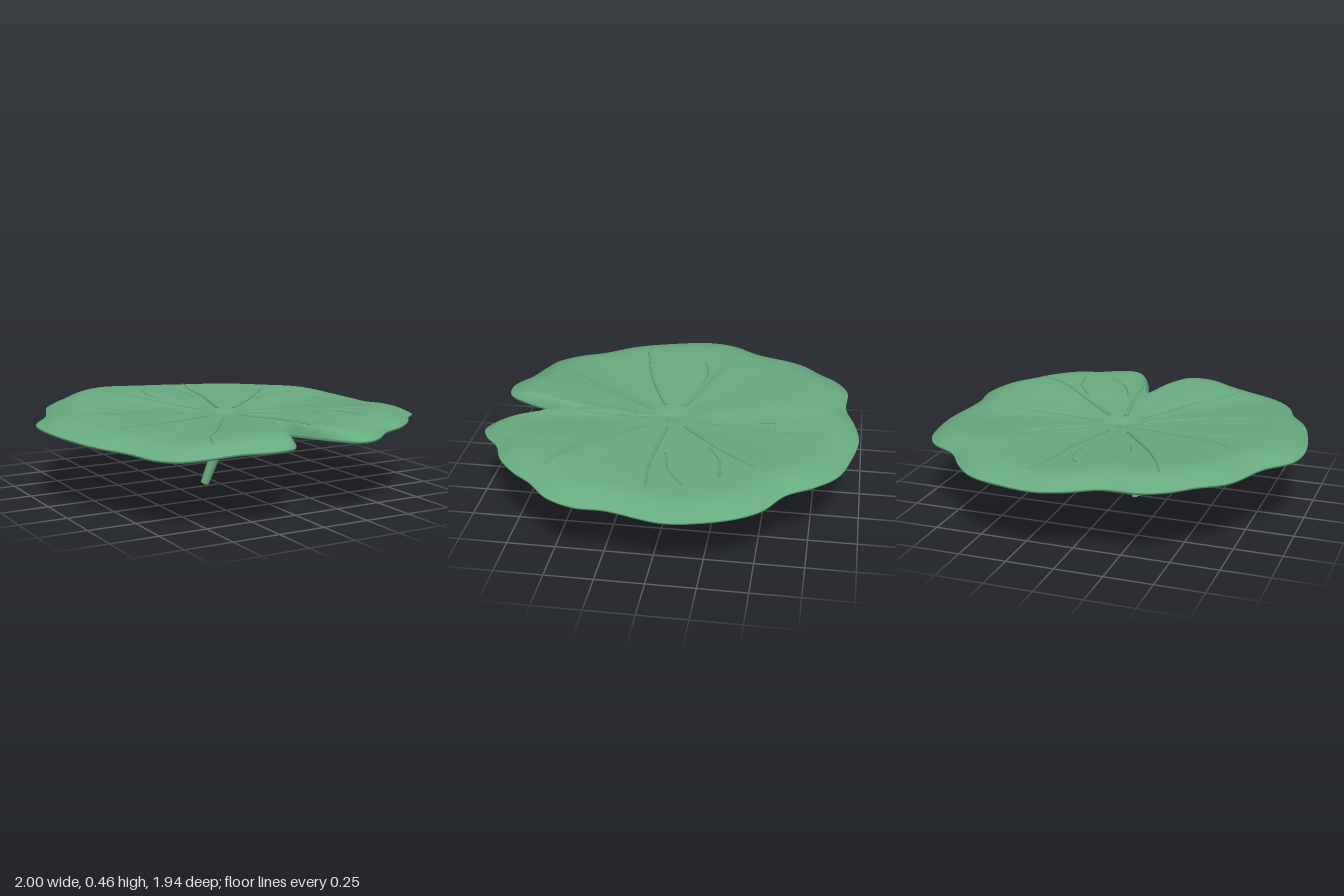
import * as THREE from 'three';

const leafGreen = new THREE.MeshStandardMaterial({ color: 0x68ab80 });
leafGreen.name = 'leaf green';

const CX = 0.01, CZ = 0.02; // where the veins and stem meet
const COLS = 320;

// Wavy rim with the front notch, as x, rim height, z
const RIM = [
  [0.035, 0.38, 0.58], [0.062, 0.382, 0.63], [0.105, 0.387, 0.75], [0.16, 0.39, 0.87], [0.22, 0.39, 0.95],
  [0.28, 0.39, 0.97], [0.36, 0.392, 0.94], [0.46, 0.398, 0.86], [0.6, 0.402, 0.8], [0.72, 0.402, 0.7],
  [0.8, 0.4, 0.6], [0.91, 0.39, 0.49], [0.96, 0.38, 0.35], [0.95, 0.37, 0.2], [0.995, 0.355, -0.08],
  [0.97, 0.36, -0.28], [0.92, 0.37, -0.44], [0.85, 0.375, -0.54], [0.7, 0.38, -0.64], [0.6, 0.376, -0.77],
  [0.48, 0.374, -0.88], [0.3, 0.374, -0.94], [0.1, 0.38, -0.975], [-0.05, 0.39, -0.95], [-0.2, 0.403, -0.9],
  [-0.4, 0.41, -0.9], [-0.52, 0.41, -0.84], [-0.62, 0.407, -0.74], [-0.75, 0.4, -0.62], [-0.86, 0.395, -0.37],
  [-0.97, 0.39, -0.22], [-1, 0.39, -0.07], [-0.95, 0.38, 0.25], [-0.9, 0.375, 0.4], [-0.81, 0.367, 0.56],
  [-0.76, 0.36, 0.7], [-0.68, 0.36, 0.8], [-0.55, 0.368, 0.85], [-0.4, 0.382, 0.89], [-0.28, 0.39, 0.95],
  [-0.2, 0.392, 0.96], [-0.13, 0.392, 0.94], [-0.07, 0.39, 0.85], [-0.025, 0.387, 0.74], [0.01, 0.382, 0.63],
].map((p) => new THREE.Vector3(...p));

const rim = new THREE.CatmullRomCurve3(RIM, true).getSpacedPoints(COLS).slice(0, COLS);
const angleOf = (x, z) => Math.atan2(x - CX, z - CZ);
const rimPolar = rim.map((p) => ({
  a: angleOf(p.x, p.z), r: Math.hypot(p.x - CX, p.z - CZ), y: p.y,
}));

// Upper surface: nearly level, rising to a crest, rolled down at the rim, dimpled in the centre
function upperY(t, r, rimY) {
  const centre = 0.403, crest = rimY + 0.052;
  const roll = Math.max(0, (t - 0.82) / 0.18) ** 2;
  const dimple = 1 - THREE.MathUtils.smoothstep(r, 0, 0.08);
  return centre + (crest - centre) * THREE.MathUtils.smoothstep(t, 0, 0.85) - 0.052 * roll - 0.015 * dimple;
}

// Blade thickness: deep over the stem, thin along the curled rim, rounded at the edge
function thickness(t) {
  const e = Math.max(0, (t - 0.95) / 0.05);
  const body = 0.03 + 0.073 * (1 - THREE.MathUtils.smoothstep(t, 0.3, 0.95));
  return body * Math.sqrt(Math.max(0, 1 - e * e));
}

// Underside: a bowl that follows the curl of the rim
function lowerY(t, rimY) {
  return upperY(t, 1, rimY) - thickness(t);
}

// Height of the upper surface above any point of the leaf
function topY(x, z) {
  const a = angleOf(x, z), r = Math.hypot(x - CX, z - CZ);
  const turn = (d) => Math.atan2(Math.sin(d), Math.cos(d));
  for (let j = 0; j < COLS; j++) {
    const p = rimPolar[j], q = rimPolar[(j + 1) % COLS];
    const before = turn(a - p.a), span = turn(q.a - p.a);
    if (before >= 0 && before <= span) {
      const k = before / span;
      const t = Math.min(1, r / THREE.MathUtils.lerp(p.r, q.r, k));
      return upperY(t, r, THREE.MathUtils.lerp(p.y, q.y, k));
    }
  }
  return 0.4;
}

// Closed blade: rows run out over the top and back along the underside
function leafGeometry() {
  const ts = [0, 0.02, 0.045, 0.07];
  for (let t = 0.11; t < 0.8; t += 0.04) ts.push(t);
  ts.push(0.82, 0.85, 0.88, 0.91, 0.93, 0.95, 0.965, 0.975, 0.985, 0.993, 0.998, 1);
  const rows = [...ts.map((t) => [t, true]), ...ts.slice(0, -1).reverse().map((t) => [t, false])];
  const pos = [], index = [];
  rows.forEach(([t, isTop], i) => {
    for (let j = 0; j < COLS; j++) {
      const p = rim[j];
      pos.push(
        CX + (p.x - CX) * t,
        isTop ? upperY(t, t * rimPolar[j].r, p.y) : lowerY(t, p.y),
        CZ + (p.z - CZ) * t,
      );
      if (i === rows.length - 1) continue;
      const n = (j + 1) % COLS;
      const a = i * COLS + j, b = a + COLS, c = (i + 1) * COLS + n, d = i * COLS + n;
      index.push(a, b, c, a, c, d);
    }
  });
  const g = new THREE.BufferGeometry();
  g.setAttribute('position', new THREE.Float32BufferAttribute(pos, 3));
  g.setIndex(index);
  g.computeVertexNormals();
  return g;
}

// Tube whose radius follows a rule along its length
function taperedTube(curve, segments, sides, radiusAt) {
  const g = new THREE.TubeGeometry(curve, segments, 1, sides);
  const pos = g.attributes.position, v = new THREE.Vector3();
  for (let i = 0; i <= segments; i++) {
    const c = curve.getPointAt(i / segments), r = radiusAt(i / segments);
    for (let j = 0; j <= sides; j++) {
      const k = i * (sides + 1) + j;
      v.fromBufferAttribute(pos, k).sub(c).multiplyScalar(r).add(c);
      pos.setXYZ(k, v.x, v.y, v.z);
    }
  }
  return g;
}

// Vein laid over the leaf through flat x, z points
function veinGeometry(points, wide, thin) {
  const flat = new THREE.CatmullRomCurve3(points.map(([x, z]) => new THREE.Vector3(x, 0, z)));
  const laid = flat.getSpacedPoints(24).map((p) => p.setY(topY(p.x, p.z)));
  return taperedTube(new THREE.CatmullRomCurve3(laid), 40, 8,
    (u) => (u === 0 || u === 1 ? 0.0005 : THREE.MathUtils.lerp(wide, thin, u)));
}

const MAIN_VEINS = [
  [[0.04, -0.1], [0.12, -0.42], [0.14, -0.6], [0.2, -0.84]],
  [[-0.06, -0.1], [-0.25, -0.38], [-0.37, -0.58], [-0.44, -0.74]],
  [[-0.1, -0.03], [-0.4, -0.13], [-0.57, -0.2], [-0.66, -0.27]],
  [[-0.11, 0.07], [-0.38, 0.18], [-0.55, 0.23], [-0.74, 0.27]],
  [[-0.06, 0.13], [-0.27, 0.45], [-0.41, 0.63], [-0.47, 0.77]],
  [[0.03, 0.13], [0.07, 0.37], [0.08, 0.55], [0.12, 0.71]],
  [[0.11, 0.11], [0.32, 0.29], [0.5, 0.445], [0.71, 0.56]],
  [[0.13, 0.025], [0.4, 0.045], [0.6, 0.05], [0.78, 0.03]],
  [[0.11, -0.06], [0.3, -0.22], [0.42, -0.33], [0.55, -0.48]],
];
const SIDE_VEINS = [
  [[0, -0.69], [0.055, -0.6], [0.07, -0.44]],
  [[-0.18, -0.6], [-0.205, -0.48], [-0.17, -0.37]],
  [[-0.64, -0.08], [-0.5, -0.11], [-0.36, -0.09]],
  [[0.34, -0.22], [0.48, -0.29], [0.65, -0.31]],
  [[0.41, -0.01], [0.58, -0.05], [0.73, -0.14]],
  [[0.12, 0.43], [0.18, 0.56], [0.29, 0.65]],
  [[0.33, 0.35], [0.42, 0.47], [0.46, 0.64]],
];

// Leaning stem with a narrow neck that flares into the leaf
function stemGeometry() {
  const path = new THREE.CatmullRomCurve3([
    [-0.085, 0.007, -0.03], [-0.05, 0.12, -0.01], [-0.018, 0.22, 0.012],
    [0.002, 0.25, 0.022], [0.014, 0.28, 0.024], [0.012, 0.315, 0.02],
  ].map((p) => new THREE.Vector3(...p)));
  const widths = [[0, 0.023], [0.35, 0.027], [0.66, 0.031], [0.78, 0.021], [0.89, 0.034], [1, 0.042]];
  const samples = new THREE.SplineCurve(widths.map((w) => new THREE.Vector2(...w))).getPoints(80);
  return taperedTube(path, 48, 20, (u) => {
    if (u === 0) return 0.0005;
    return (samples.find((s) => s.x >= u) ?? samples[80]).y;
  });
}

export function createModel() {
  const model = new THREE.Group();
  model.name = 'lilyPad';
  const add = (name, geometry, parent = model) => {
    const mesh = new THREE.Mesh(geometry, leafGreen);
    mesh.name = name;
    parent.add(mesh);
    return mesh;
  };

  add('leaf', leafGeometry());
  add('stem', stemGeometry());

  // Small raised button in the dimple at the middle of the leaf
  add('hub', new THREE.CylinderGeometry(0.022, 0.026, 0.02, 20)).position.set(CX, 0.386, CZ);

  const veins = new THREE.Group();
  veins.name = 'veins';
  model.add(veins);
  MAIN_VEINS.forEach((p) => add('mainVein', veinGeometry(p, 0.011, 0.005), veins));
  SIDE_VEINS.forEach((p) => add('sideVein', veinGeometry(p, 0.006, 0.005), veins));
  return model;
}
